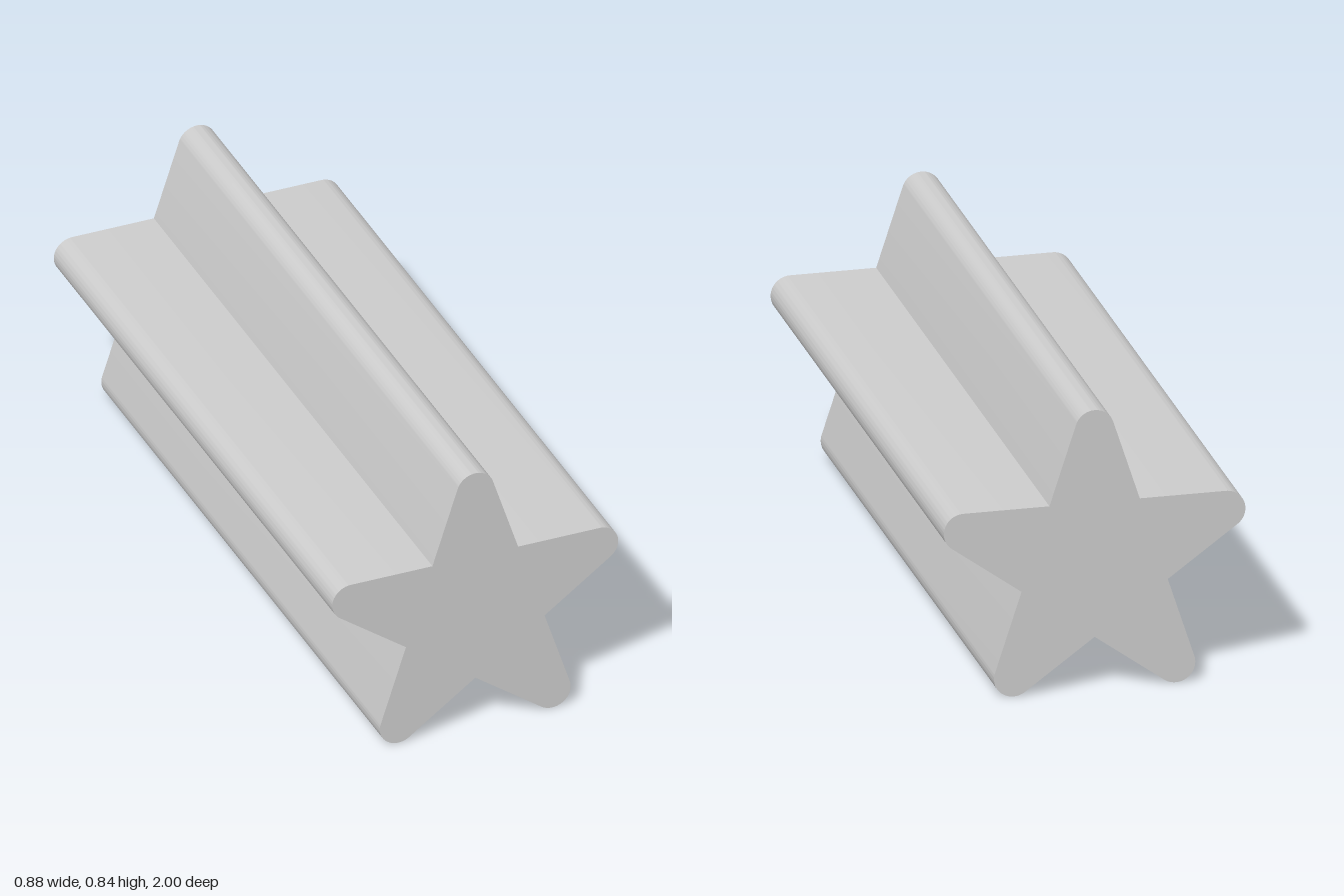
import * as THREE from 'three';
import { toCreasedNormals } from 'three/addons/utils/BufferGeometryUtils.js';

const LENGTH = 2;
const TIP_DISTANCE = 0.402; // star centre to centre of each rounded tip
const TIP_RADIUS = 0.057;
const deg = THREE.MathUtils.degToRad;

// Five-pointed star whose straight edges run tangent into the rounded tips
function starShape() {
  const valley = (TIP_DISTANCE * Math.cos(deg(72)) + TIP_RADIUS) / Math.cos(deg(36));
  const shape = new THREE.Shape();
  for (let i = 0; i < 5; i++) {
    // Rounded tip, then the edge down to the valley after it
    const a = deg(90 + i * 72);
    const v = a + deg(36);
    shape.absarc(TIP_DISTANCE * Math.cos(a), TIP_DISTANCE * Math.sin(a),
      TIP_RADIUS, a - deg(72), a + deg(72), false);
    shape.lineTo(valley * Math.cos(v), valley * Math.sin(v));
  }
  shape.closePath();
  return shape;
}

export function createModel() {
  const group = new THREE.Group();
  group.name = 'starBar';

  // Star profile drawn out along z, resting on its two lower tips
  const geometry = new THREE.ExtrudeGeometry(starShape(), {
    depth: LENGTH, bevelEnabled: false, curveSegments: 24,
  });
  geometry.translate(0, TIP_DISTANCE * Math.cos(deg(36)) + TIP_RADIUS, -LENGTH / 2);

  const bar = new THREE.Mesh(
    toCreasedNormals(geometry, deg(30)),
    new THREE.MeshStandardMaterial({ color: 0xcccccc }),
  );
  bar.name = 'starPrism';
  group.add(bar);
  return group;
}
